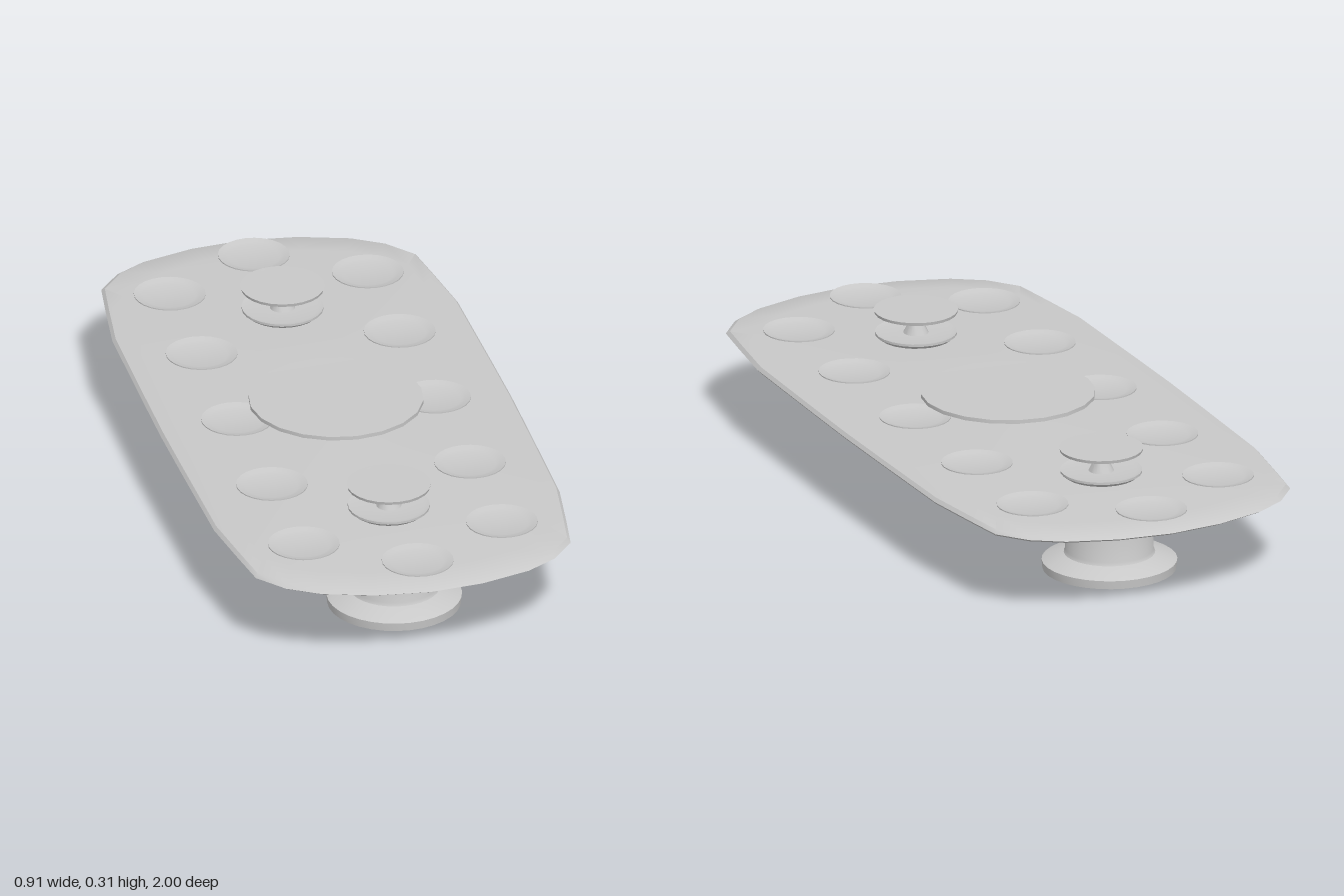
import * as THREE from 'three';
import { toCreasedNormals } from 'three/addons/utils/BufferGeometryUtils.js';

const grey = new THREE.MeshStandardMaterial({ color: 0xc8c8c8 });
grey.name = 'plain grey';

function addMesh(group, name, geometry, x = 0, z = 0) {
  const mesh = new THREE.Mesh(toCreasedNormals(geometry, 0.5), grey);
  mesh.name = name;
  mesh.position.set(x, 0, z);
  group.add(mesh);
}

// Turned shape from a [radius, height] profile, bottom to top
function turned(profile, sides) {
  return new THREE.LatheGeometry(profile.map(([r, y]) => new THREE.Vector2(r, y)), sides);
}

// Table top: a barrel-shaped outline stacked in bevelled layers
function tableTop() {
  const quarter = [[0.457, 0], [0.455, 0.2], [0.45, 0.54], [0.428, 0.7], [0.41, 0.82],
    [0.35, 0.895], [0.27, 0.945], [0.14, 0.985], [0, 1]];
  const half = [...quarter, ...quarter.slice(0, -1).reverse().map(([x, z]) => [-x, z])];
  const outline = [...half, ...half.slice(1, -1).reverse().map(([x, z]) => [x, -z])];
  const layers = [[0, 0.2], [0.88, 0.2], [0.985, 0.207], [1, 0.215], [0.985, 0.224], [0.9, 0.231], [0, 0.231]];
  const n = outline.length, positions = [], index = [];
  for (const [s, y] of layers) for (const [x, z] of outline) positions.push(x * s, y, z * s);
  for (let k = 0; k < layers.length - 1; k++) {
    for (let i = 0; i < n; i++) {
      const a = k * n + i, b = k * n + (i + 1) % n;
      if (k < layers.length - 2) index.push(a, a + n, b + n);
      if (k > 0) index.push(a, b + n, b);
    }
  }
  const geometry = new THREE.BufferGeometry();
  geometry.setAttribute('position', new THREE.Float32BufferAttribute(positions, 3));
  geometry.setIndex(index);
  return geometry;
}

export function createModel() {
  const table = new THREE.Group();
  table.name = 'banquetTable';
  addMesh(table, 'tableTop', tableTop());

  // Three pedestal legs with flared feet
  const leg = turned([[0, 0], [0.17, 0], [0.172, 0.022], [0.165, 0.026], [0.116, 0.042],
    [0.112, 0.05], [0.112, 0.205]], 32);
  for (const z of [-0.617, 0, 0.617]) addMesh(table, 'pedestalLeg', leg, 0, z);

  // Place settings: shallow dishes round the edge
  const plate = turned([[0, 0.229], [0.065, 0.229], [0.091, 0.238], [0.091, 0.241],
    [0.077, 0.237], [0.066, 0.234], [0, 0.234]], 24);
  for (const z of [-0.713, -0.375, 0, 0.37, 0.708]) {
    for (const side of [-1, 1]) addMesh(table, 'plate', plate, side * 0.258, z);
  }
  for (const z of [-0.872, 0.866]) addMesh(table, 'plate', plate, 0, z);

  // Wide serving platter on a low foot
  const platter = turned([[0, 0.229], [0.105, 0.229], [0.105, 0.246], [0.222, 0.26],
    [0.222, 0.27], [0, 0.268]], 20);
  addMesh(table, 'centrePlatter', platter);

  // Two raised cake stands
  const stand = turned([[0, 0.229], [0.09, 0.229], [0.104, 0.24], [0.104, 0.246], [0.09, 0.243],
    [0.032, 0.243], [0.02, 0.268], [0.013, 0.287], [0.03, 0.29], [0.105, 0.297],
    [0.107, 0.305], [0.1, 0.305], [0, 0.303]], 24);
  for (const z of [-0.567, 0.56]) addMesh(table, 'cakeStand', stand, 0, z);

  return table;
}
